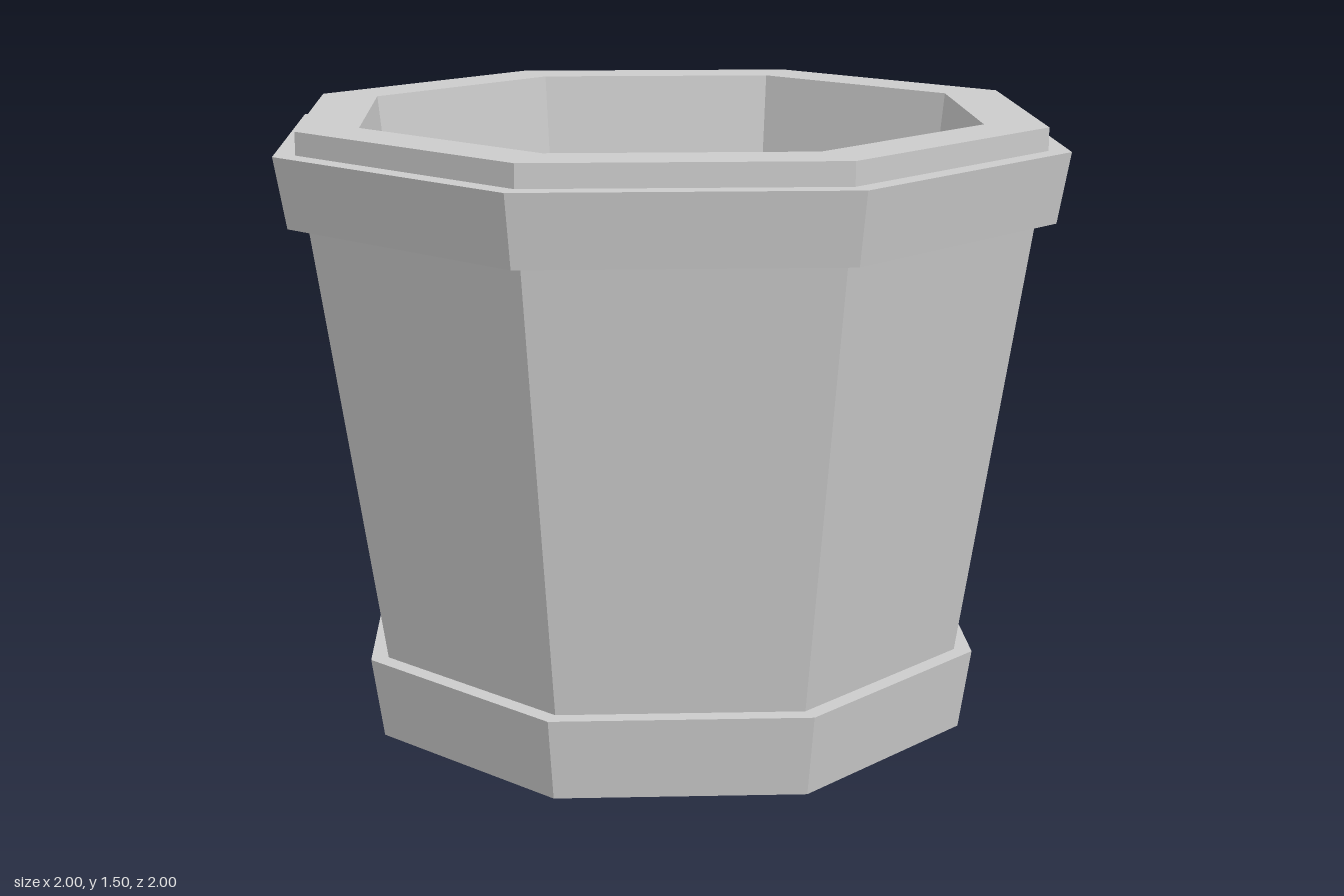
import * as THREE from 'three';

const material = new THREE.MeshStandardMaterial({ color: 0xcccccc, flatShading: true });

// Eight-sided ring from a [radius, height] profile, corners on the x and z axes
function octagon(name, profile) {
  const points = profile.map(([r, y]) => new THREE.Vector2(r, y));
  const geometry = new THREE.LatheGeometry(points, 8).toNonIndexed();
  geometry.computeVertexNormals();
  const mesh = new THREE.Mesh(geometry, material);
  mesh.name = name;
  return mesh;
}

export function createModel() {
  const pot = new THREE.Group();
  pot.name = 'flowerPot';
  pot.add(
    // Base band with underside and small top ledge
    octagon('baseBand', [[0, 0], [0.77, 0], [0.8, 0.2], [0.755, 0.2]]),
    // Tapered outer wall
    octagon('outerWall', [[0.755, 0.2], [0.92, 1.28]]),
    // Flared collar with its overhang and ledge
    octagon('collar', [[0.92, 1.28], [0.97, 1.28], [1, 1.45], [0.945, 1.45]]),
    // Raised lip and flat top
    octagon('lip', [[0.945, 1.45], [0.945, 1.505], [0.79, 1.505]]),
    // Hollow inside and floor
    octagon('innerWall', [[0.79, 1.505], [0.64, 0.2]]),
    octagon('floor', [[0.64, 0.2], [0, 0.2]])
  );
  return pot;
}
